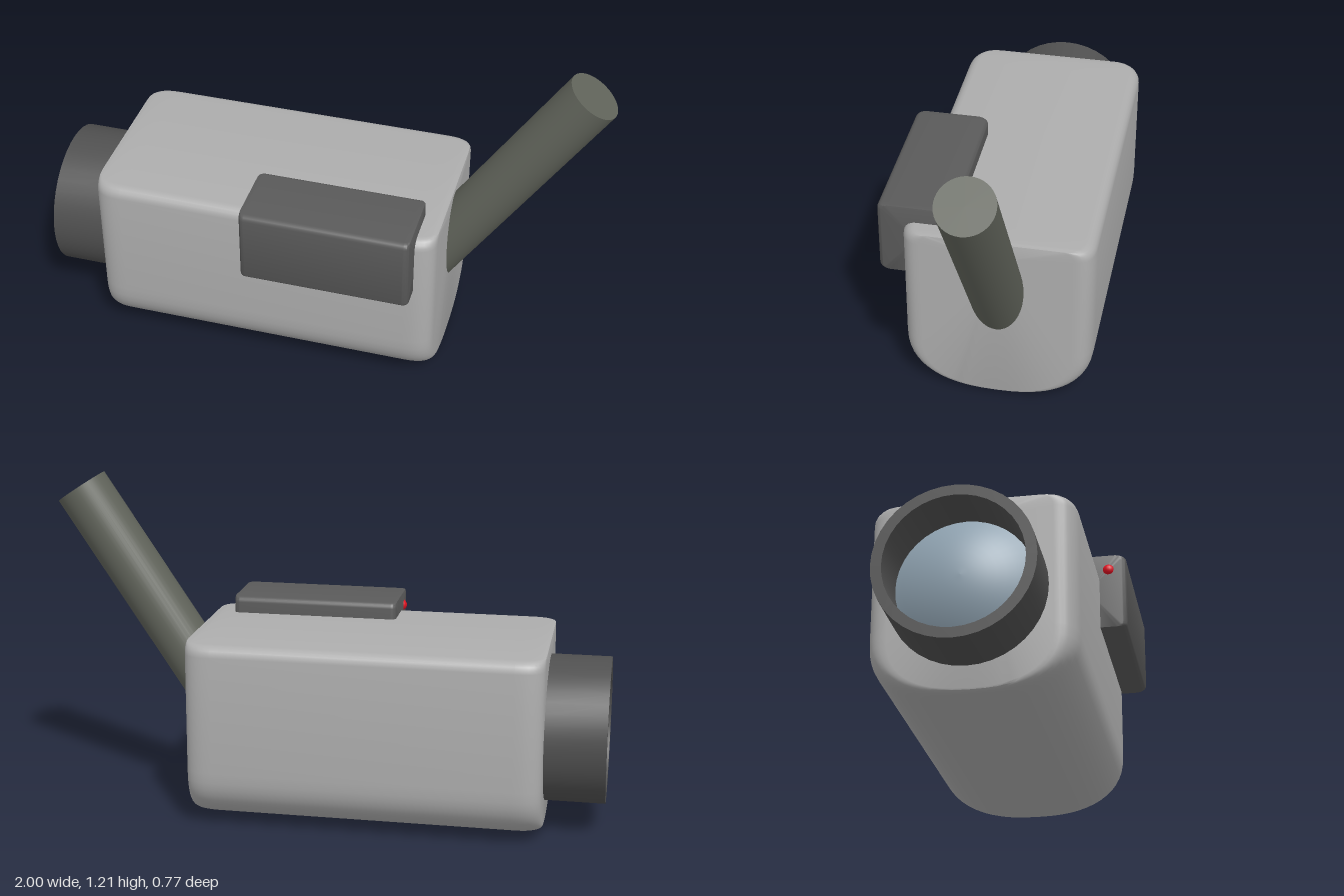
import * as THREE from 'three';
import { toCreasedNormals } from 'three/addons/utils/BufferGeometryUtils.js';

const MID_Z = -0.047;

function material(color, side = THREE.FrontSide) {
  return new THREE.MeshStandardMaterial({ color, side });
}

function addMesh(group, name, geometry, mat) {
  const mesh = new THREE.Mesh(geometry, mat);
  mesh.name = name;
  group.add(mesh);
  return mesh;
}

// Half cross-sections run from bottom centre up one side: [z offset, y]
function bodySection(inset) {
  const w = 0.3375 - inset, low = 0.003 + inset * 0.25, rise = 0.215 - low;
  const pts = [];
  for (let i = 0; i <= 14; i++) {
    const a = (i / 14) * Math.PI / 2;
    pts.push([w * Math.sin(a) ** 0.8, low + rise * (1 - Math.cos(a) ** 0.8)]);
  }
  for (let i = 0; i <= 5; i++) {
    const a = (i / 5) * Math.PI / 2;
    pts.push([w - 0.04 * (1 - Math.cos(a)), 0.635 + 0.04 * Math.sin(a)]);
  }
  return pts;
}

function unitSection(inset) {
  const w = 0.1365 - inset, r = 0.02, bottom = 0.459, top = 0.734;
  const pts = [[0, bottom]];
  for (const [y, start] of [[bottom + r, -Math.PI / 2], [top - r, 0]]) {
    for (let i = 0; i <= 4; i++) {
      const a = start + (i / 4) * Math.PI / 2;
      pts.push([w - r + r * Math.cos(a), y + r * Math.sin(a)]);
    }
  }
  return pts;
}

// Sweep a mirrored section along x, its sides rounding in toward both ends
function sweptCase(section, x0, x1, midZ, length, depth, power) {
  const ends = [];
  const steps = 8;
  for (let i = 0; i <= steps; i++) {
    const a = (i / steps) * Math.PI / 2;
    ends.push([length * (1 - Math.cos(a) ** power), depth * (1 - Math.sin(a) ** power)]);
  }
  const stations = [
    ...ends.map(([d, inset]) => [x0 + d, inset]),
    ...ends.slice().reverse().map(([d, inset]) => [x1 - d, inset]),
  ];
  const positions = [], index = [];
  let count = 0;
  for (const [x, inset] of stations) {
    const half = section(inset);
    const loop = [...half, ...half.slice(1).reverse().map(([z, y]) => [-z, y])];
    count = loop.length;
    for (const [z, y] of loop) positions.push(x, y, z + midZ);
  }
  for (let r = 0; r < stations.length - 1; r++) {
    for (let i = 0; i < count; i++) {
      const j = (i + 1) % count;
      const a = r * count + i, b = r * count + j;
      index.push(a, a + count, b, b, a + count, b + count);
    }
  }
  // Flat end caps
  const last = (stations.length - 1) * count;
  const centre = positions.length / 3;
  const midY = 0.6;
  positions.push(x0, midY, midZ, x1, midY, midZ);
  for (let i = 0; i < count; i++) {
    const j = (i + 1) % count;
    index.push(centre, i, j, centre + 1, last + j, last + i);
  }
  const geometry = new THREE.BufferGeometry();
  geometry.setAttribute('position', new THREE.Float32BufferAttribute(positions, 3));
  geometry.setIndex(index);
  return toCreasedNormals(geometry, 0.6);
}

export function createModel() {
  const group = new THREE.Group();

  addMesh(group, 'body',
    sweptCase(bodySection, -0.787, 0.465, MID_Z, 0.1, 0.07, 0.8), material(0xadadad, THREE.DoubleSide));

  // Lens hood, open toward -x, with a domed glass set inside
  const lens = new THREE.Group();
  lens.name = 'lens';
  lens.position.set(-0.77, 0.355, -0.055);
  lens.rotation.z = Math.PI / 2;
  group.add(lens);
  const hood = [[0.26, 0], [0.26, 0.23], [0.225, 0.23], [0.225, 0.03]]
    .map(([r, y]) => new THREE.Vector2(r, y));
  addMesh(lens, 'lensHood',
    toCreasedNormals(new THREE.LatheGeometry(hood, 40), 0.5), material(0x505050, THREE.DoubleSide));
  const dome = [];
  for (let i = 0; i <= 8; i++) {
    const t = 1 - i / 8;
    dome.push(new THREE.Vector2(0.226 * t, 0.05 + 0.08 * (1 - t * t)));
  }
  addMesh(lens, 'lensGlass', new THREE.LatheGeometry(dome, 40), material(0x8fa2b0, THREE.DoubleSide));

  // Side unit with its small red light
  addMesh(group, 'sideUnit',
    sweptCase(unitSection, -0.209, 0.397, 0.248, 0.02, 0.02, 1), material(0x5a5a5a, THREE.DoubleSide));
  const light = addMesh(group, 'recordLight', new THREE.SphereGeometry(0.022, 20, 14), material(0xdd1020));
  light.position.set(-0.198, 0.68, 0.322);

  // Slanted rod rising from the end of the body
  const top = new THREE.Vector3(0.917, 1.159, MID_Z);
  const axis = new THREE.Vector3(0.553, 0.833, 0).normalize();
  const rodLength = 1;
  const rod = addMesh(group, 'rod', new THREE.CylinderGeometry(0.098, 0.098, rodLength, 40), material(0x60635a));
  rod.quaternion.setFromUnitVectors(new THREE.Vector3(0, 1, 0), axis);
  rod.position.copy(top).addScaledVector(axis, -rodLength / 2);

  return group;
}
